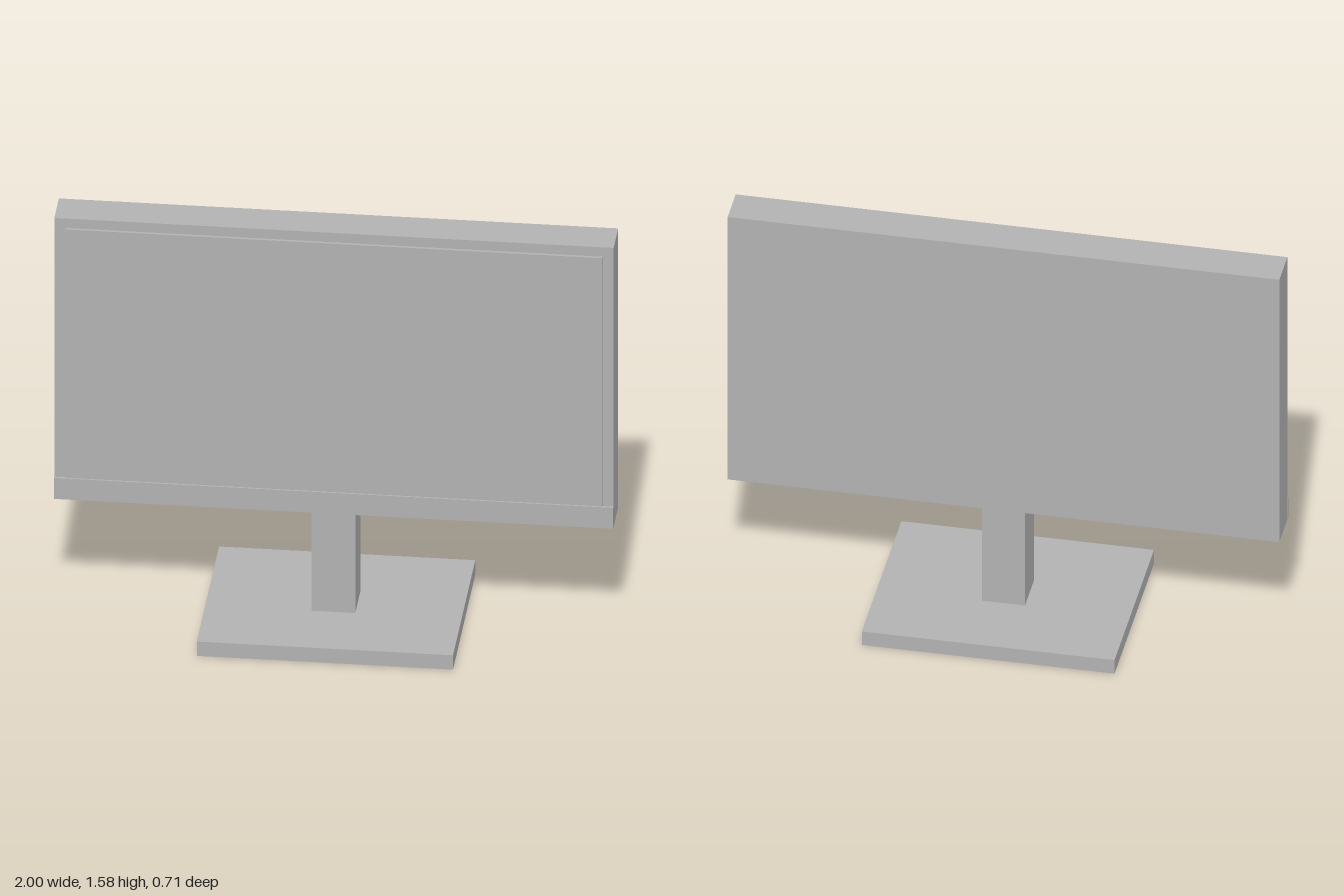
import * as THREE from 'three';

export function createModel() {
  const model = new THREE.Group();
  model.name = 'monitor';
  const grey = new THREE.MeshStandardMaterial({ color: 0xb2b2b2 });
  grey.name = 'plain grey';

  // Box given by its lower and upper limits on each axis
  function box(name, [x0, x1], [y0, y1], [z0, z1]) {
    const mesh = new THREE.Mesh(new THREE.BoxGeometry(x1 - x0, y1 - y0, z1 - z0), grey);
    mesh.position.set((x0 + x1) / 2, (y0 + y1) / 2, (z0 + z1) / 2);
    mesh.name = name;
    model.add(mesh);
  }

  // Stand
  box('base', [-0.458, 0.458], [0, 0.058], [-0.355, 0.355]);
  box('neck', [-0.078, 0.078], [0.058, 0.49], [-0.08, 0.082]);

  // Display
  box('housing', [-1, 1], [0.455, 1.583], [-0.08, 0.066]);
  box('screen', [-0.96, 0.96], [0.54, 1.545], [0.066, 0.077]);

  // Lower trim strip, standing slightly proud of the housing
  box('lowerBezel', [-1, 1], [0.455, 0.54], [0.074, 0.083]);

  // Power button
  const button = new THREE.Mesh(new THREE.CylinderGeometry(0.006, 0.006, 0.008, 16), grey);
  button.rotation.x = Math.PI / 2;
  button.position.set(0.925, 0.477, 0.084);
  button.name = 'powerButton';
  model.add(button);

  return model;
}
